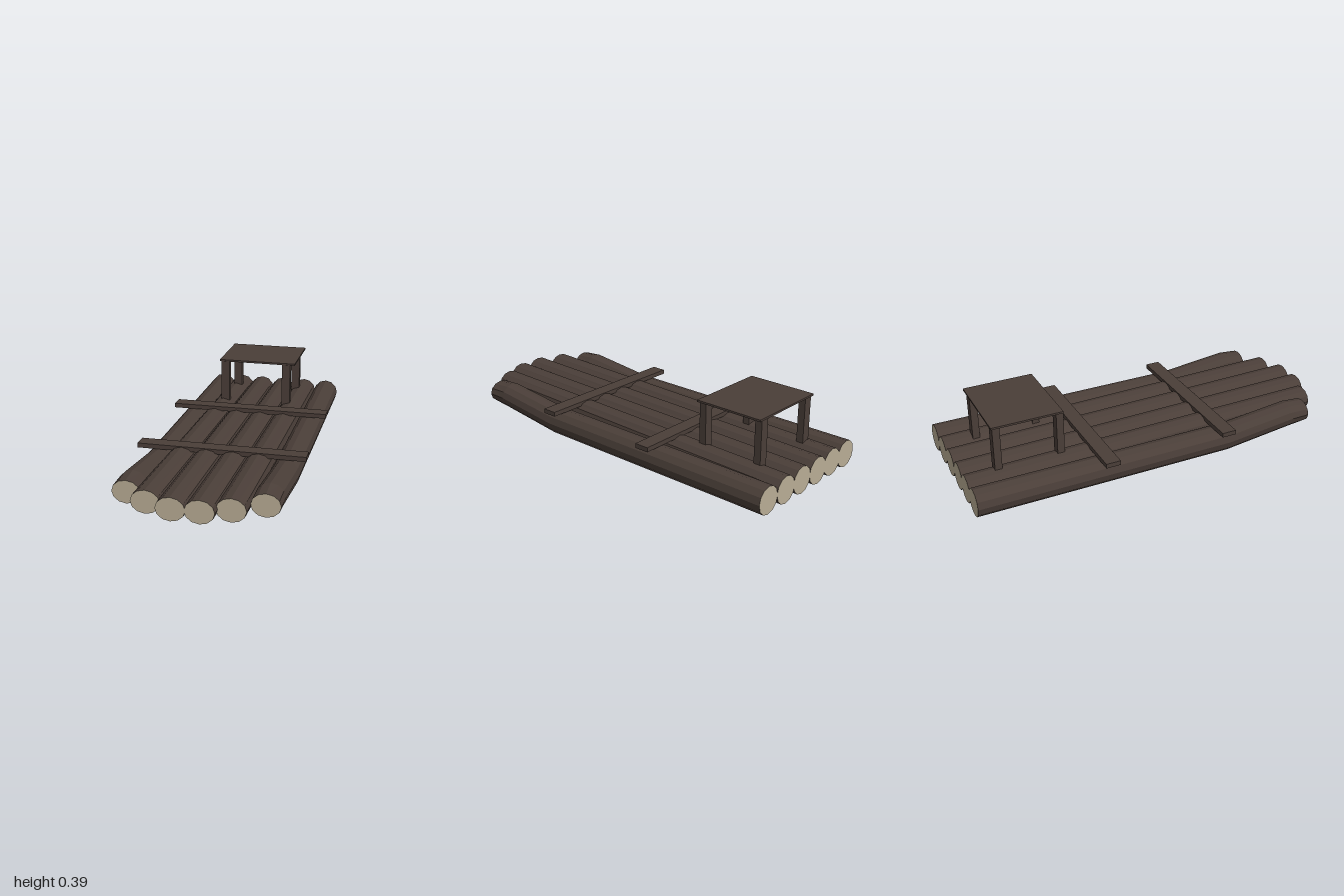
import * as THREE from 'three';

const bark = new THREE.MeshStandardMaterial({ color: 0x4a3e38, flatShading: true });
bark.name = 'dark bark';
const cutWood = new THREE.MeshStandardMaterial({ color: 0xb9ad95, flatShading: true });
cutWood.name = 'cut wood';

// A log along z; each ring is [z, centre x, centre y, half width, half height]
function makeLog(name, rings) {
  const n = rings.length - 1;
  const geo = new THREE.CylinderGeometry(1, 1, n, 12, n).rotateX(Math.PI / 2);
  const p = geo.attributes.position;
  for (let i = 0; i < p.count; i++) {
    const [z, cx, cy, rx, ry] = rings[Math.round(p.getZ(i) + n / 2)];
    p.setXYZ(i, cx + p.getX(i) * rx, cy + p.getY(i) * ry, z);
  }
  geo.computeVertexNormals();
  const mesh = new THREE.Mesh(geo, [bark, cutWood, cutWood]);
  mesh.name = name;
  return mesh;
}

// A box given by its limits on each axis
function makeBox(name, x0, x1, y0, y1, z0, z1) {
  const mesh = new THREE.Mesh(new THREE.BoxGeometry(x1 - x0, y1 - y0, z1 - z0), bark);
  mesh.position.set((x0 + x1) / 2, (y0 + y1) / 2, (z0 + z1) / 2);
  mesh.name = name;
  return mesh;
}

export function createModel() {
  const raft = new THREE.Group();
  raft.name = 'raft';

  // Bent outer logs
  for (const x of [-0.326, 0.333]) {
    raft.add(makeLog('outerLog', [
      [-1, x, 0.073, 0.071, 0.072],
      [0.38, x, 0.073, 0.071, 0.072],
      [0.76, x, 0.116, 0.071, 0.069],
      [0.865, x, 0.117, 0.071, 0.058],
    ]));
  }

  // Straight inner logs, rising gently to the front
  const inner = [[-0.2, -0.206, 0.95], [-0.073, -0.073, 1], [0.062, 0.062, 1], [0.195, 0.194, 0.95]];
  for (const [back, front, end] of inner) {
    raft.add(makeLog('innerLog', [
      [-1, back, 0.073, 0.071, 0.072],
      [end, front, 0.117, 0.071, 0.058],
    ]));
  }

  // Cross beams
  for (const z of [-0.318, 0.34]) {
    raft.add(makeBox('crossBeam', -0.437, 0.435, 0.145, 0.169, z - 0.039, z + 0.039));
  }

  // Canopy on four posts
  const canopy = new THREE.Group();
  canopy.name = 'canopy';
  canopy.add(makeBox('canopyTop', -0.222, 0.22, 0.378, 0.388, -0.857, -0.485));
  for (const x of [-0.189, 0.17]) {
    for (const z of [-0.83, -0.502]) {
      canopy.add(makeBox('canopyPost', x - 0.024, x + 0.024, 0.12, 0.379, z - 0.019, z + 0.019));
    }
  }
  raft.add(canopy);
  return raft;
}
